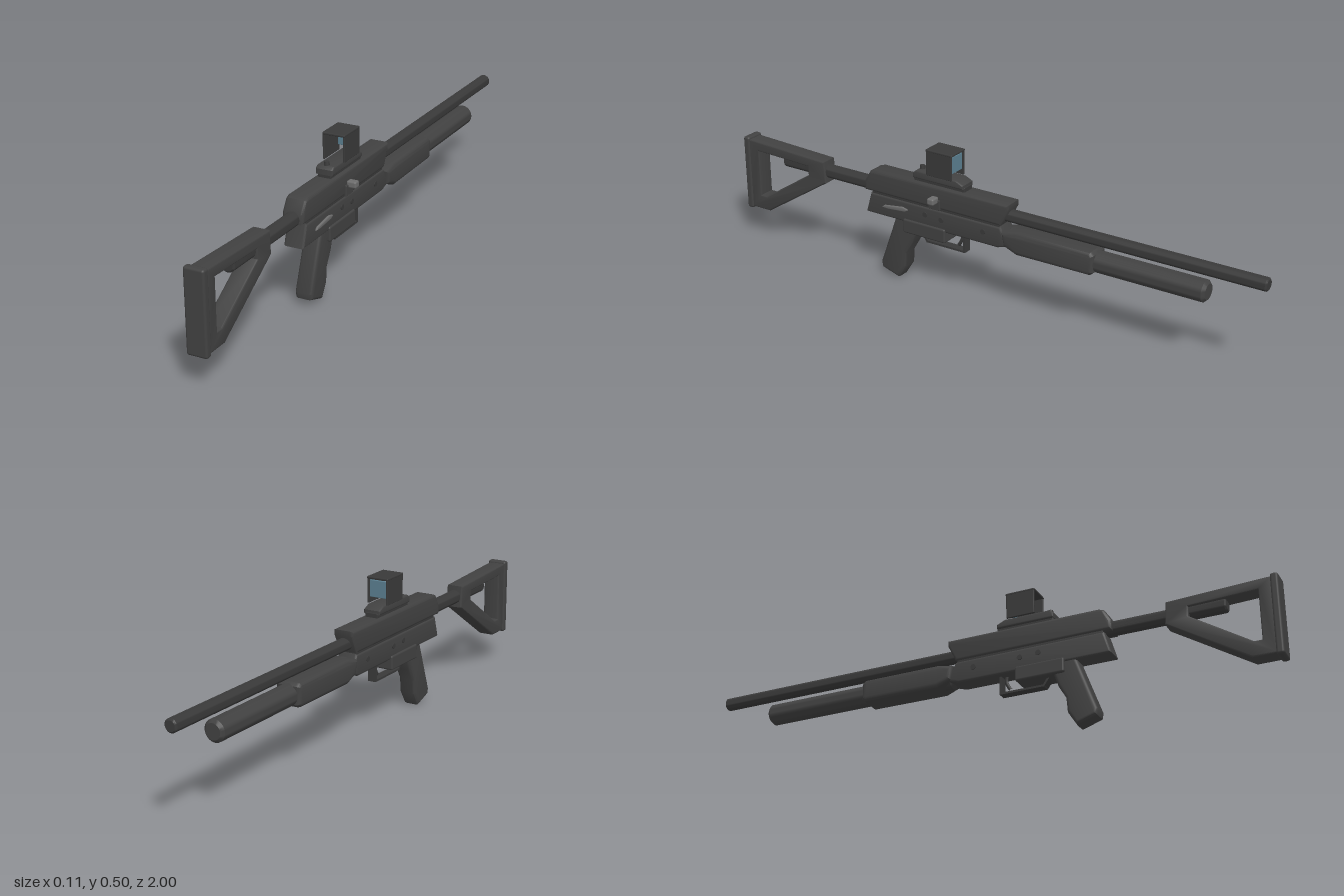
import * as THREE from 'three';
import { toCreasedNormals } from 'three/addons/utils/BufferGeometryUtils.js';
import { RoundedBoxGeometry } from 'three/addons/geometries/RoundedBoxGeometry.js';

const CX = -0.012; // centre plane of the body

export function createModel() {
  const model = new THREE.Group();
  model.name = 'rifle';
  const mat = (name, color) => {
    const m = new THREE.MeshStandardMaterial({ color });
    m.name = name;
    return m;
  };
  const body = mat('charcoal', 0x414141);
  const dark = mat('dark metal', 0x393939);
  const steel = mat('steel grey', 0x6c6c6c);
  const glass = mat('blue glass', 0x5a7e8f);

  const add = (name, geometry, material, x = 0, y = 0, z = 0) => {
    const mesh = new THREE.Mesh(geometry, material);
    mesh.name = name;
    mesh.position.set(x, y, z);
    model.add(mesh);
    return mesh;
  };

  // Side profile given as [z, y] points, extruded across x with soft edges
  const slab = (name, pts, width, bevel, material, hole, x = CX) => {
    const toV = (p) => p.map(([z, y]) => new THREE.Vector2(z, y));
    const shape = new THREE.Shape(toV(pts));
    if (hole) shape.holes.push(new THREE.Path(toV(hole)));
    const g = new THREE.ExtrudeGeometry(shape, {
      depth: width - 2 * bevel, bevelEnabled: bevel > 0, bevelThickness: bevel,
      bevelSize: bevel, bevelOffset: -bevel, bevelSegments: 3,
    });
    g.translate(0, 0, -(width - 2 * bevel) / 2);
    g.rotateY(-Math.PI / 2);
    return add(name, toCreasedNormals(g, 0.6), material, x);
  };

  const box = (name, w, h, d, material, x, y, z, r = 0.003) =>
    add(name, new RoundedBoxGeometry(w, h, d, 2, r), material, x, y, z);

  // Round bar along z between two ends, with softened rims
  const bar = (name, radius, z0, z1, y, material, rim = 0.005) => {
    const len = z1 - z0;
    const pts = [[0, 0], [radius - rim, 0], [radius, rim], [radius, len - rim], [radius - rim, len], [0, len]];
    const g = new THREE.LatheGeometry(pts.map((p) => new THREE.Vector2(...p)), 32);
    g.rotateX(Math.PI / 2);
    return add(name, toCreasedNormals(g, 0.6), material, CX, y, z0);
  };

  // Small pin lying across x
  const pin = (name, radius, length, material, x, y, z) => {
    const g = new THREE.CylinderGeometry(radius, radius, length, 20);
    g.rotateZ(Math.PI / 2);
    return add(name, g, material, x, y, z);
  };

  // Barrel, air tube and stock tube
  bar('barrel', 0.022, -1, -0.05, 0.332, dark);
  bar('airTube', 0.036, -0.81, -0.1, 0.256, body, 0.01);
  bar('stockTube', 0.024, 0.42, 0.83, 0.317, dark);

  // Receiver halves
  slab('upperReceiver', [
    [0.46, 0.302], [0.46, 0.335], [0.437, 0.374], [0.42, 0.38],
    [-0.115, 0.38], [-0.115, 0.362], [-0.085, 0.302],
  ], 0.072, 0.009, body);
  slab('receiverSeam', [[0.43, 0.285], [0.43, 0.31], [-0.08, 0.31], [-0.08, 0.285]], 0.062, 0.002, dark);
  slab('lowerReceiver', [
    [0.435, 0.297], [0.457, 0.222], [-0.075, 0.222], [-0.115, 0.235], [-0.085, 0.297],
  ], 0.07, 0.008, body);

  // Fore-end around the air tube
  slab('foreEnd', [
    [-0.09, 0.285], [-0.15, 0.297], [-0.42, 0.297], [-0.432, 0.287],
    [-0.432, 0.228], [-0.42, 0.218], [-0.15, 0.216], [-0.1, 0.236],
  ], 0.09, 0.016, body);

  // Skeleton stock and butt pad
  slab('stockFrame', [
    [0.98, 0.37], [0.64, 0.357], [0.635, 0.28], [0.9, 0.112], [0.98, 0.112],
  ], 0.06, 0.005, body, [[0.935, 0.333], [0.935, 0.165], [0.91, 0.165], [0.712, 0.293], [0.712, 0.326]]);
  box('buttPad', 0.07, 0.272, 0.026, body, CX, 0.242, 0.987, 0.008);

  // Pistol grip
  slab('grip', [
    [0.335, 0.235], [0.25, 0.235], [0.252, 0.205], [0.272, 0.145], [0.298, 0.1],
    [0.302, 0.05], [0.332, 0.002], [0.4, 0.024], [0.404, 0.045],
  ], 0.061, 0.011, body);

  // Trigger housing, guard and trigger
  box('triggerHousing', 0.081, 0.05, 0.17, body, CX, 0.21, 0.214, 0.006);
  const guard = [[0.238, 0.19], [0.218, 0.162], [0.068, 0.162], [0.068, 0.225]];
  for (let i = 0; i < guard.length - 1; i++) {
    const [z0, y0] = guard[i];
    const [z1, y1] = guard[i + 1];
    const strip = add('triggerGuard', new THREE.BoxGeometry(0.03, 0.007, Math.hypot(z1 - z0, y1 - y0) + 0.006),
      dark, CX, (y0 + y1) / 2, (z0 + z1) / 2);
    strip.rotation.x = -Math.atan2(y1 - y0, z1 - z0);
  }
  const triggerPath = new THREE.CatmullRomCurve3([
    [0.085, 0.225], [0.083, 0.205], [0.09, 0.188], [0.098, 0.175],
  ].map(([z, y]) => new THREE.Vector3(CX, y, z)));
  add('trigger', new THREE.TubeGeometry(triggerPath, 10, 0.006, 8), dark);

  // Bolt handle on its side panel
  box('boltPanel', 0.008, 0.036, 0.045, body, 0.026, 0.318, 0.17, 0.002);
  box('boltHandle', 0.034, 0.023, 0.026, steel, 0.039, 0.336, 0.167, 0.006);

  // Selector lever and receiver pins
  slab('selector', [
    [0.385, 0.258], [0.375, 0.266], [0.3, 0.276], [0.278, 0.27], [0.29, 0.262], [0.36, 0.256],
  ], 0.01, 0.002, steel, null, 0.024);
  for (const [z, y] of [[0.145, 0.266], [0.21, 0.27], [-0.02, 0.266]]) {
    pin('receiverPin', 0.009, 0.076, dark, CX, y, z);
  }

  // Sight mount
  box('sightRail', 0.046, 0.02, 0.2, dark, CX, 0.386, 0.16);
  slab('sightBase', [
    [0.262, 0.39], [0.262, 0.408], [0.25, 0.417], [0.09, 0.417], [0.062, 0.404], [0.062, 0.39],
  ], 0.061, 0.005, body);
  add('sightKnob', new THREE.CylinderGeometry(0.008, 0.01, 0.016, 20), dark, CX, 0.421, 0.242);

  // Sight hood with lens
  for (const s of [-1, 1]) box('hoodSide', 0.007, 0.087, 0.1, dark, -0.011 + s * 0.0355, 0.459, 0.15, 0.002);
  box('hoodTop', 0.079, 0.008, 0.104, dark, -0.011, 0.502, 0.15);
  box('lens', 0.064, 0.058, 0.008, glass, -0.011, 0.465, 0.108, 0.002);

  return model;
}
